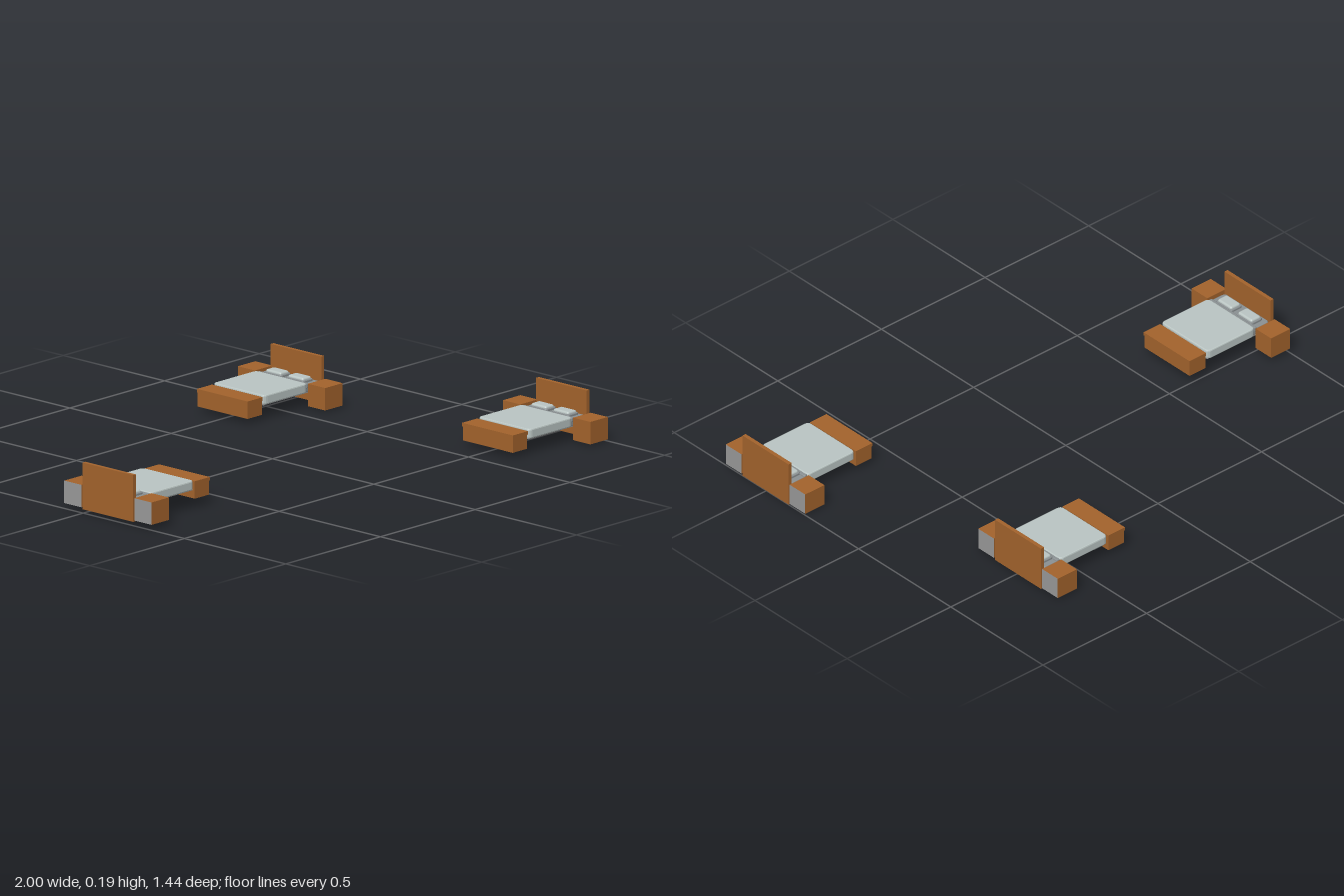
import * as THREE from 'three';
import { RoundedBoxGeometry } from 'three/addons/geometries/RoundedBoxGeometry.js';

const mat = (name, color) => {
  const m = new THREE.MeshStandardMaterial({ color });
  m.name = name;
  return m;
};

export function createModel() {
  const wood = mat('wood', 0xa3632c);
  const panel = mat('greyPanel', 0x999999);
  const sheet = mat('greySheet', 0x8b9193);
  const linen = mat('paleLinen', 0xbac5c3);
  const navy = mat('navyUnderside', 0x2a3448);

  const put = (parent, name, geo, material, x, y, z) => {
    const mesh = new THREE.Mesh(geo, material);
    mesh.name = name;
    mesh.position.set(x, y, z);
    parent.add(mesh);
    return mesh;
  };
  // box given by its x and y ranges, centred on z
  const box = (parent, name, material, x0, x1, y0, y1, depth, z = 0) =>
    put(parent, name, new THREE.BoxGeometry(x1 - x0, y1 - y0, depth), material, (x0 + x1) / 2, (y0 + y1) / 2, z);

  // soft slab with a rounded outline and bevelled top and bottom rims
  const softSlab = (parent, name, material, x0, x1, y0, y1, depth, radius, bevel, z = 0) => {
    const w = (x1 - x0) / 2 - bevel, d = depth / 2 - bevel, r = radius;
    const s = new THREE.Shape();
    s.moveTo(-w + r, -d);
    s.lineTo(w - r, -d);
    s.quadraticCurveTo(w, -d, w, -d + r);
    s.lineTo(w, d - r);
    s.quadraticCurveTo(w, d, w - r, d);
    s.lineTo(-w + r, d);
    s.quadraticCurveTo(-w, d, -w, d - r);
    s.lineTo(-w, -d + r);
    s.quadraticCurveTo(-w, -d, -w + r, -d);
    const geo = new THREE.ExtrudeGeometry(s, {
      depth: y1 - y0 - 2 * bevel, bevelEnabled: true, bevelSize: bevel,
      bevelThickness: bevel, bevelSegments: 2, curveSegments: 4,
    });
    geo.rotateX(-Math.PI / 2).translate(0, bevel, 0);
    return put(parent, name, geo, material, (x0 + x1) / 2, y0, z);
  };

  // one bed set: headboard back at x = 0, foot towards +x
  const bedSet = (name, benchBottom) => {
    const g = new THREE.Group();
    g.name = name;
    box(g, 'headboard', wood, 0, 0.015, 0, 0.175, 0.25);

    // mattress with its underside plate, and the duvet over the foot end
    box(g, 'bedUnderside', panel, 0.016, 0.317, 0.053, 0.057, 0.242);
    softSlab(g, 'mattress', sheet, 0.016, 0.315, 0.056, 0.083, 0.242, 0.01, 0.004);
    softSlab(g, 'duvet', linen, 0.09, 0.32, 0.055, 0.091, 0.256, 0.014, 0.005);
    softSlab(g, 'duvetFold', sheet, 0.078, 0.094, 0.07, 0.088, 0.246, 0.004, 0.003);

    for (const s of [-1, 1]) {
      // pillow on a slightly larger darker border
      softSlab(g, 'pillowBorder', sheet, 0.028, 0.083, 0.08, 0.092, 0.088, 0.008, 0.003, s * 0.055);
      put(g, 'pillow', new RoundedBoxGeometry(0.047, 0.018, 0.076, 3, 0.008), linen, 0.055, 0.091, s * 0.055);
      // nightstand with plain grey back and underside
      box(g, 'nightstand', [wood, panel, wood, panel, wood, wood], 0, 0.092, 0.006, 0.09, 0.085, s * 0.173);
    }

    // bench at the foot with a thin lid
    box(g, 'benchBody', [wood, wood, wood, benchBottom, wood, wood], 0.327, 0.403, 0.02, 0.073, 0.246);
    box(g, 'benchLid', wood, 0.325, 0.405, 0.073, 0.086, 0.25);
    return g;
  };

  const model = new THREE.Group();
  model.name = 'bedroomSets';
  const layout = [
    ['leftwardBed', -1, 0.014, 0.122, 0, panel],
    ['rearBed', 0.68, 0, -0.505, Math.PI, panel],
    ['frontBed', 1, 0, 0.505, Math.PI, navy],
  ];
  for (const [name, x, y, z, turn, bottom] of layout) {
    const bed = bedSet(name, bottom);
    bed.position.set(x, y, z);
    bed.rotation.y = turn;
    model.add(bed);
  }
  return model;
}
